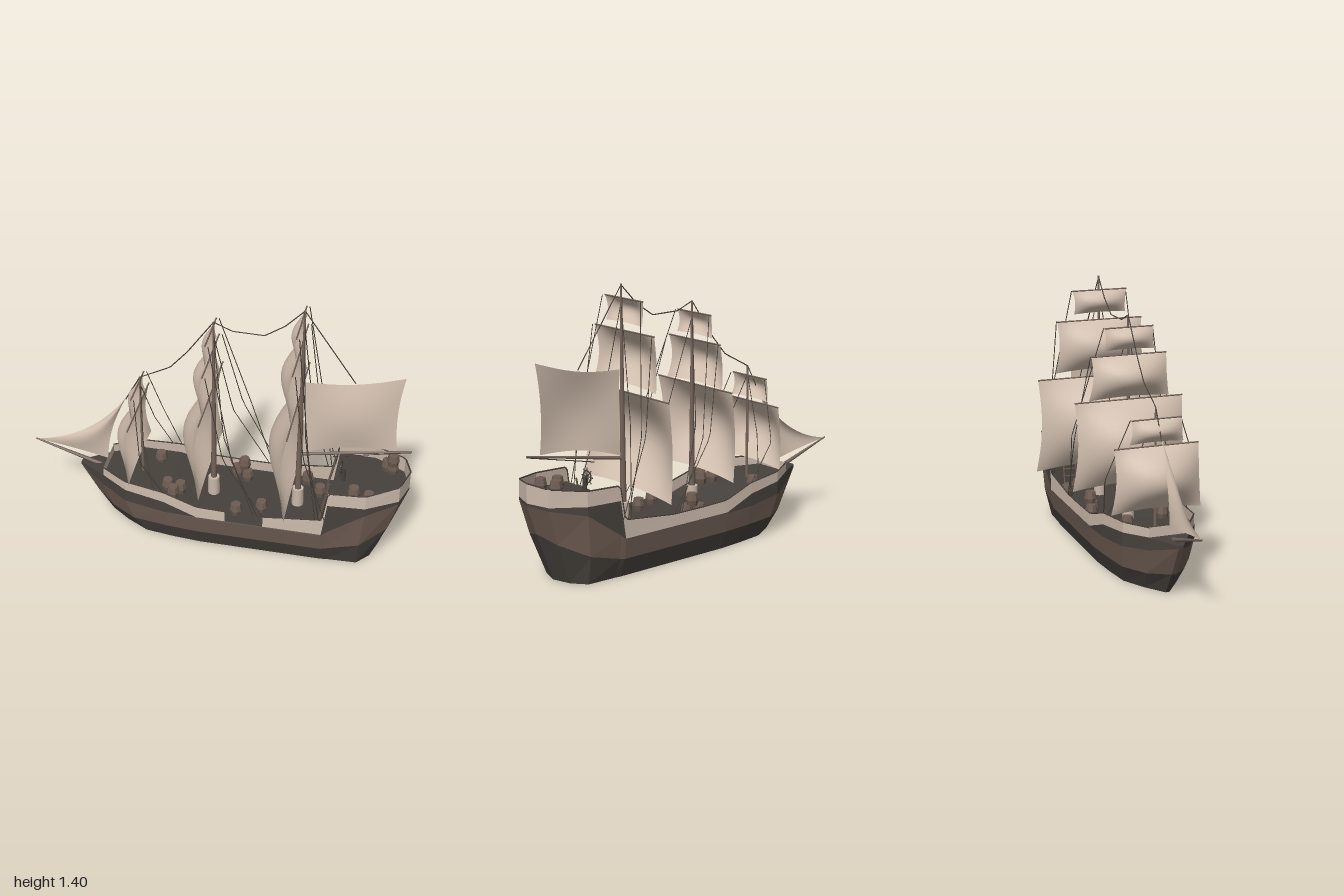
import * as THREE from 'three';

const mat = (name, color) => {
  const m = new THREE.MeshStandardMaterial({ color, side: THREE.DoubleSide });
  m.name = name;
  return m;
};

export function createModel() {
  const ship = new THREE.Group();
  ship.name = 'sailingShip';
  const planks = mat('brownPlanks', 0x6d5c52);
  const dark = mat('darkTimber', 0x47413c);
  const pale = mat('paleRail', 0xcbb9ab);
  const cloth = mat('sailCloth', 0xd3c0b0);
  const spar = mat('sparWood', 0x75645a);
  const rope = mat('rope', 0x4b433d);

  const V = (x, y, z) => new THREE.Vector3(x, y, z);
  const add = (name, geo, material) => {
    const m = new THREE.Mesh(geo, material);
    m.name = name;
    ship.add(m);
    return m;
  };
  // Flat shaded surface from a list of quads (corners counter-clockwise)
  const quads = (name, list, material) => {
    const pts = list.flatMap(([a, b, c, d]) => [a, b, c, a, c, d]);
    const g = new THREE.BufferGeometry().setFromPoints(pts);
    g.computeVertexNormals();
    add(name, g, material);
  };
  // Tapered round bar between two points
  const bar = (name, a, b, r0, r1, material, sides = 8) => {
    const m = add(name, new THREE.CylinderGeometry(r1, r0, a.distanceTo(b), sides), material);
    m.position.copy(a).add(b).multiplyScalar(0.5);
    m.quaternion.setFromUnitVectors(V(0, 1, 0), b.clone().sub(a).normalize());
  };
  // Rope made of straight pieces
  const line = (name, pts, r = 0.0025) => {
    const path = new THREE.CurvePath();
    for (let i = 1; i < pts.length; i++) path.add(new THREE.LineCurve3(pts[i - 1], pts[i]));
    add(name, new THREE.TubeGeometry(path, pts.length * 6, r, 4), rope);
  };

  // Hull section at one station: five points from keel to rail, widths in fixed ratio
  const section = (half, keelX, waterX, waterY, x, waleY, deckY, railY) => [
    V(keelX, 0, half * 0.78), V(waterX, waterY, half * 0.94), V(x, waleY, half),
    V(x, deckY, half * 0.99), V(x, railY, half * 0.975)];
  const amidships = (x, railY) => section(0.23, x, x, 0.1, x, 0.202, 0.206, railY);
  const S = [
    section(0.012, -0.58, -0.66, 0.12, -0.75, 0.28, 0.295, 0.295),
    section(0.106, -0.48, -0.55, 0.1, -0.6, 0.235, 0.3, 0.35),
    section(0.19, -0.36, -0.42, 0.1, -0.46, 0.22, 0.29, 0.343),
    section(0.217, -0.2, -0.23, 0.1, -0.25, 0.203, 0.268, 0.328),
    amidships(-0.07, 0.272), amidships(0.08, 0.268), amidships(0.28, 0.268), amidships(0.585, 0.302),
    section(0.225, 0.61, 0.61, 0.105, 0.61, 0.225, 0.4, 0.475),
    section(0.217, 0.77, 0.78, 0.15, 0.8, 0.36, 0.405, 0.482),
    section(0.126, 0.83, 0.91, 0.215, 0.96, 0.393, 0.41, 0.5),
    section(0, 0.86, 0.95, 0.25, 1, 0.4, 0.412, 0.512),
  ];
  const P = (i, r, s) => V(S[i][r].x, S[i][r].y, s * S[i][r].z);
  const layers = [['lowerHull', dark], ['hullPlanking', planks], ['upperStrake', dark], ['bulwark', pale]];
  layers.forEach(([name, material], r) => {
    const list = [];
    for (const s of [1, -1]) for (let i = 0; i < S.length - 1; i++) {
      // Bulwark is open at the stem and at one boarding gap
      if (r === 3 && (i === 0 || (i === 5 && s === 1))) continue;
      const q = [P(i, r, s), P(i + 1, r, s), P(i + 1, r + 1, s), P(i, r + 1, s)];
      list.push(s > 0 ? q : q.reverse());
    }
    const f = r === 3 ? 1 : 0;
    list.push([P(f, r, -1), P(f, r, 1), P(f, r + 1, 1), P(f, r + 1, -1)]);
    quads(name, list, material);
  });
  const deck = [], bottom = [];
  for (let i = 0; i < S.length - 1; i++) {
    deck.push([P(i, 3, 1), P(i + 1, 3, 1), P(i + 1, 3, -1), P(i, 3, -1)]);
    bottom.push([P(i, 0, -1), P(i + 1, 0, -1), P(i + 1, 0, 1), P(i, 0, 1)]);
  }
  quads('deck', deck, dark);
  quads('hullBottom', bottom, dark);
  const railCap = (a, b, s) => line('railCap', S.slice(a, b + 1).map((_, k) => P(a + k, 4, s)), 0.004);
  railCap(1, 5, 1);
  railCap(6, 11, 1);
  railCap(1, 11, -1);

  // Square sail billowing forward, hung from a yard
  const squareSail = (x, top, bot, hw, hwBot, bulge) => {
    const g = new THREE.PlaneGeometry(2, 1, 16, 14), p = g.attributes.position;
    for (let i = 0; i < p.count; i++) {
      const u = p.getX(i), v = 0.5 - p.getY(i);
      const belly = Math.sin(Math.PI * v);
      const w = hw + (hwBot - hw) * v - 0.05 * hw * belly;
      const lift = 0.05 * (top - bot) * (1 - u * u) * v * v;
      p.setXYZ(i, x - bulge * belly * (0.2 + 0.8 * Math.cos(u * Math.PI / 2)),
        top + (bot - top) * v + lift, u * w);
    }
    g.computeVertexNormals();
    add('squareSail', g, cloth);
    bar('yard', V(x, top, -hw), V(x, top, hw), 0.004, 0.004, spar, 6);
  };

  // Masts with sails: [top, bottom, half width at top and bottom, bulge]
  const masts = [
    { x: -0.41, base: 0.28, top: 0.89, r: 0.008, foot: V(-0.25, 0.33, 0.213),
      sails: [[0.7, 0.37, 0.22, 0.235, 0.11], [0.835, 0.715, 0.13, 0.14, 0.045]] },
    { x: -0.025, base: 0.2, top: 1.275, r: 0.017, foot: V(0.28, 0.27, 0.226),
      sails: [[0.845, 0.385, 0.29, 0.305, 0.14], [1.075, 0.85, 0.2, 0.215, 0.085], [1.215, 1.1, 0.13, 0.135, 0.04]] },
    { x: 0.425, base: 0.2, top: 1.405, r: 0.018, foot: V(0.6, 0.3, 0.226),
      sails: [[0.87, 0.372, 0.345, 0.36, 0.14], [1.175, 0.9, 0.235, 0.247, 0.09], [1.333, 1.21, 0.15, 0.142, 0.045]] },
  ];
  for (const m of masts) {
    bar('mast', V(m.x, m.base, 0), V(m.x, m.top, 0), m.r, 0.005, spar);
    if (m.r > 0.01) bar('mastCollar', V(m.x, m.base, 0), V(m.x, m.base + 0.11, 0), 0.032, 0.03, pale, 10);
    m.sails.forEach(s => squareSail(m.x - 0.015, ...s));
    // Shrouds running from the yards and mast down to the rail
    for (const s of [1, -1]) {
      const foot = V(m.foot.x, m.foot.y, s * m.foot.z);
      const h = m.top - m.foot.y, dx = m.foot.x - m.x;
      m.sails.slice(1).forEach((sail, k) => line('shroud', [V(m.x, sail[0], s * sail[2]),
        V(m.x + dx * (0.33 + 0.15 * k), m.foot.y + h * 0.36, s * (m.foot.z + 0.03)),
        foot.clone().add(V(-0.03 * k, 0, 0))]));
      line('shroud', [V(m.x, m.foot.y + h * 0.92, 0), V(m.x + dx * 0.25, m.foot.y + h * 0.4, s * 0.12),
        foot.clone().add(V(-0.05, 0, 0))]);
    }
  }

  // Fore-and-aft stays between the mastheads
  line('stay', [V(-0.41, 0.89, 0), V(-0.25, 0.975, 0), V(-0.16, 1.08, 0), V(-0.025, 1.275, 0)], 0.003);
  line('stay', [V(-0.025, 1.275, 0), V(0.07, 1.235, 0), V(0.23, 1.232, 0), V(0.33, 1.3, 0), V(0.425, 1.4, 0)], 0.003);
  line('stay', [V(0.425, 1.4, 0), V(0.69, 1.015, 0)], 0.003);
  line('stay', [V(-0.41, 0.89, 0), V(-0.49, 0.74, 0)], 0.003);
  bar('bowsprit', V(-0.6, 0.275, 0), V(-1, 0.405, 0), 0.013, 0.004, spar);
  bar('boom', V(0.43, 0.535, 0), V(0.995, 0.64, 0), 0.009, 0.005, spar);
  line('boomSheet', [V(0.6, 0.545, 0), V(0.995, 0.635, 0)]);

  // Lengthwise sails spanned between two side curves, with a sideways belly
  const bowed = (a, b, c) => new THREE.QuadraticBezierCurve3(V(...a, 0), V(...b, 0), V(...c, 0));
  const sideSail = (name, left, right, sag, belly) => {
    const g = new THREE.PlaneGeometry(1, 1, 14, 14), p = g.attributes.position;
    for (let i = 0; i < p.count; i++) {
      const u = p.getX(i) + 0.5, v = 0.5 - p.getY(i);
      const q = left.getPoint(v).lerp(right.getPoint(v), u);
      const k = Math.sin(Math.PI * u);
      p.setXYZ(i, q.x, q.y - sag(v) * k, belly * k * Math.sin(Math.PI * v));
    }
    g.computeVertexNormals();
    add(name, g, cloth);
  };
  sideSail('spanker', bowed([0.44, 0.985], [0.45, 0.77], [0.44, 0.55]),
    bowed([0.935, 1.08], [0.89, 0.85], [0.92, 0.635]), v => 0.025 * (1 - 2 * v), 0.03);
  sideSail('jib', bowed([-0.485, 0.755], [-0.68, 0.46], [-0.99, 0.403]),
    bowed([-0.485, 0.755], [-0.6, 0.52], [-0.6, 0.335]), v => -0.005 * v, 0.025);

  // Barrels on deck, grouped by deck height: [x, z]
  const casks = [
    [0.205, [[0.07, -0.17], [0.13, -0.14], [0.45, -0.18], [0.53, -0.09], [0.25, 0.1], [0.125, 0.15]]],
    [0.265, [[0.11, -0.16], [-0.18, 0.11], [-0.21, 0.15], [-0.25, 0.1], [-0.34, -0.12]]],
    [0.405, [[0.73, 0.13], [0.81, 0.16], [0.9, -0.11], [0.87, -0.13]]],
    [0.465, [[0.9, -0.1]]],
  ];
  const profile = [[0, 0], [0.026, 0], [0.033, 0.03], [0.026, 0.065], [0, 0.065]].map(p => new THREE.Vector2(...p));
  const caskGeo = new THREE.LatheGeometry(profile, 8).toNonIndexed();
  caskGeo.computeVertexNormals();
  for (const [y, spots] of casks) spots.forEach(([x, z], i) => {
    const m = add('barrel', caskGeo, planks);
    m.position.set(x, y, z);
    m.rotation.y = i * 0.7;
  });

  // Steering wheel on its post
  const hub = V(0.645, 0.48, 0);
  bar('wheelPost', V(0.66, 0.4, 0), V(0.66, 0.48, 0), 0.012, 0.01, dark, 6);
  add('wheelRim', new THREE.TorusGeometry(0.03, 0.004, 5, 14).rotateY(Math.PI / 2), dark).position.copy(hub);
  for (let k = 0; k < 4; k++) {
    const d = V(0, Math.cos(k * Math.PI / 4), Math.sin(k * Math.PI / 4)).multiplyScalar(0.045);
    bar('wheelSpoke', hub.clone().sub(d), hub.clone().add(d), 0.003, 0.003, dark, 5);
  }

  // Ladders up to the quarterdeck
  for (const z of [-0.12, 0.12]) {
    for (const s of [-0.035, 0.035]) bar('ladderSide', V(0.555, 0.205, z + s), V(0.6, 0.43, z + s), 0.005, 0.005, planks, 5);
    for (let k = 1; k < 6; k++) {
      const x = 0.555 + 0.0075 * k, y = 0.205 + 0.0375 * k;
      bar('ladderRung', V(x, y, z - 0.035), V(x, y, z + 0.035), 0.004, 0.004, planks, 5);
    }
  }
  return ship;
}
